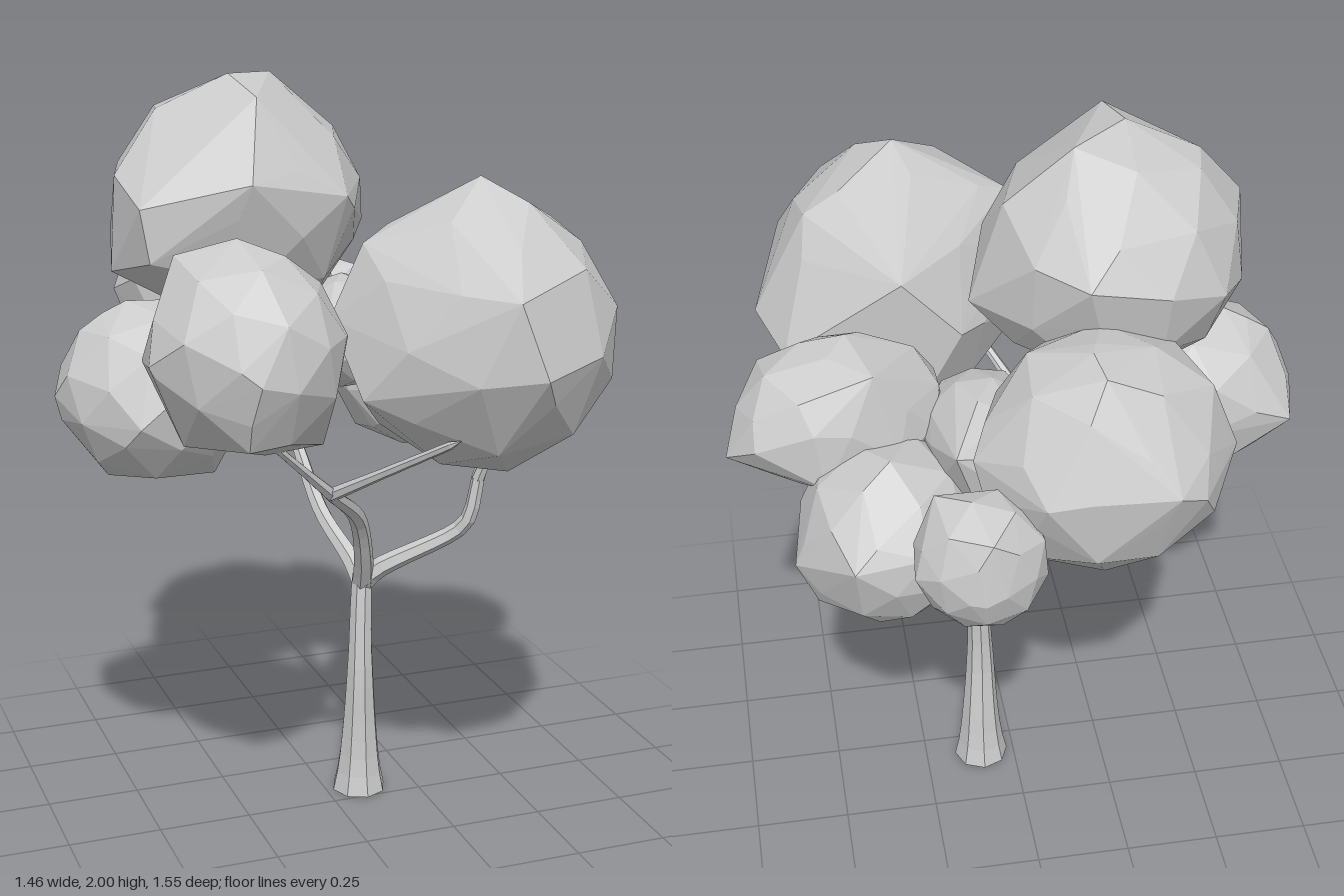
import * as THREE from 'three';
import { ConvexGeometry } from 'three/addons/geometries/ConvexGeometry.js';

const grey = new THREE.MeshStandardMaterial({ color: 0xcccccc, flatShading: true, side: THREE.DoubleSide });
const v = (p) => new THREE.Vector3(...p);

// Repeatable noise in -1..1 from a direction, so shared corners move together
function noise(d, seed) {
  const s = Math.sin(Math.round(d.x * 100) * 12.99 + Math.round(d.y * 100) * 78.23 + Math.round(d.z * 100) * 37.72 + seed * 5.17) * 4375.85;
  return (s - Math.floor(s)) * 2 - 1;
}

// Faceted leaf clump: an uneven rounded core inside a box, wrapped together with a few jutting corners
function clump(name, min, max, seed, fill, corners) {
  const centre = v(min).add(v(max)).multiplyScalar(0.5);
  const radii = v(max).sub(v(min)).multiplyScalar(0.5 * fill);
  const pos = new THREE.IcosahedronGeometry(1, 1).attributes.position;
  const turn = new THREE.Euler(seed * 0.9, seed * 1.7, seed * 0.4);
  const points = corners.map(v);
  for (let i = 0; i < pos.count; i++) {
    const d = new THREE.Vector3().fromBufferAttribute(pos, i).normalize();
    const r = 1 + 0.03 * noise(d, seed);
    points.push(d.applyEuler(turn).multiplyScalar(r).multiply(radii).add(centre));
  }
  const mesh = new THREE.Mesh(new ConvexGeometry(points), grey);
  mesh.name = name;
  return mesh;
}

// Tapered limb along a path; radii are spread evenly from start to end
function limb(name, points, radii, sides = 6) {
  const path = new THREE.CatmullRomCurve3(points.map(v), false, 'centripetal');
  const segs = 12;
  const geo = new THREE.TubeGeometry(path, segs, 1, sides);
  const pos = geo.attributes.position;
  const p = new THREE.Vector3();
  for (let i = 0; i < pos.count; i++) {
    const t = Math.floor(i / (sides + 1)) / segs;
    const f = t * (radii.length - 1);
    const k = Math.min(Math.floor(f), radii.length - 2);
    const r = THREE.MathUtils.lerp(radii[k], radii[k + 1], f - k);
    const c = path.getPointAt(t);
    p.fromBufferAttribute(pos, i).sub(c).multiplyScalar(r).add(c);
    pos.setXYZ(i, p.x, p.y, p.z);
  }
  geo.computeVertexNormals();
  const mesh = new THREE.Mesh(geo, grey);
  mesh.name = name;
  return mesh;
}

export function createModel() {
  const tree = new THREE.Group();
  tree.name = 'tree';

  // Trunk, flared at the foot, with a closed base
  tree.add(limb('trunk',
    [[0.093, 0, -0.064], [0.093, 0.15, -0.06], [0.09, 0.35, -0.048], [0.093, 0.5, -0.053], [0.1, 0.64, -0.062]],
    [0.075, 0.06, 0.053, 0.047, 0.042, 0.038, 0.034, 0.032, 0.031, 0.028], 8));
  const base = new THREE.Mesh(new THREE.CircleGeometry(0.073, 8).rotateX(Math.PI / 2), grey);
  base.name = 'trunkBase';
  base.position.set(0.093, 0, -0.064);
  tree.add(base);

  // Three main branches, each splitting in two
  const fork = [0.1, 0.61, -0.06];
  const branches = [
    { name: 'sideBranch', via: [[0.13, 0.65, -0.04], [0.33, 0.77, 0.05], [0.355, 0.81, 0.07]], split: [0.375, 0.92, 0.08],
      ends: [[0.43, 1.14, 0.15], [0.51, 1.14, -0.04]] },
    { name: 'frontBranch', via: [[0.085, 0.69, -0.01], [0.03, 0.85, 0.09]], split: [-0.1, 0.98, 0.25],
      ends: [[-0.3, 1.17, 0.38], [0.1, 1.2, 0.6]] },
    { name: 'backBranch', via: [[0.095, 0.65, -0.12], [0.06, 0.75, -0.28]], split: [0.035, 0.91, -0.41],
      ends: [[-0.03, 1.14, -0.47], [0.14, 1.1, -0.52]] },
  ];
  for (const b of branches) {
    tree.add(limb(b.name, [fork, ...b.via, b.split], [0.03, 0.025, 0.022, 0.018]));
    b.ends.forEach((end, i) => {
      const mid = b.split.map((s, k) => s + (end[k] - s) * 0.5);
      tree.add(limb(b.name + 'Twig' + (i + 1), [b.split, mid, end],
        [0.018, 0.017, 0.016, 0.015, 0.014, 0.013, 0.013, 0.012, 0.012, 0.011, 0.011, 0.01, 0]));
    });
  }

  // Leaf clumps
  const crown = new THREE.Group();
  crown.name = 'crown';
  crown.add(
    clump('frontClump', [-0.13, 1.01, -0.05], [0.62, 1.78, 0.77], 1, 0.9, [
      [0.24, 1.78, 0.36], [0.18, 1.55, 0.74], [0.24, 1.37, 0.77], [0.62, 1.38, 0.25], [0.56, 1.35, 0.07],
      [-0.13, 1.45, 0.32], [-0.1, 1.28, 0.47], [0.27, 1.6, -0.04], [0.25, 1.2, -0.03], [0.48, 1.65, 0.25],
      [-0.05, 1.63, 0.33], [0.3, 1.01, 0.14], [0.47, 1.07, 0.3], [0.12, 1.42, -0.01]]),
    clump('topClump', [-0.58, 1.36, -0.42], [0.11, 1.99, 0.26], 2, 0.94, [
      [-0.27, 2, -0.03], [-0.13, 1.99, -0.13], [-0.25, 1.96, 0.14], [-0.45, 1.92, -0.05], [-0.55, 1.71, 0.16],
      [-0.53, 1.58, 0.17], [-0.57, 1.77, 0], [-0.3, 1.77, 0.26], [-0.04, 1.72, 0.2], [0.12, 1.6, -0.13],
      [-0.12, 1.77, -0.41], [-0.33, 1.73, -0.37], [-0.58, 1.53, -0.02]]),
    clump('frontLowClump', [-0.6, 1.13, 0.12], [-0.1, 1.66, 0.61], 3, 0.95, [
      [-0.36, 1.66, 0.32], [-0.5, 1.62, 0.27], [-0.6, 1.39, 0.4], [-0.39, 1.37, 0.6], [-0.12, 1.43, 0.42],
      [-0.15, 1.14, 0.33], [-0.51, 1.18, 0.36], [-0.56, 1.35, 0.18], [-0.1, 1.28, 0.28], [-0.4, 1.2, 0.53]]),
    clump('sideLowClump', [-0.73, 0.98, -0.25], [-0.22, 1.46, 0.21], 4, 0.97, [
      [-0.69, 1.2, -0.2], [-0.73, 1.22, -0.04], [-0.57, 1.18, 0.2], [-0.6, 1.42, -0.05], [-0.6, 1.0, -0.04],
      [-0.33, 0.99, 0]]),
    clump('backClump', [-0.46, 1.06, -0.74], [0.17, 1.69, -0.2], 5, 0.97, [
      [-0.27, 1.42, -0.74], [0.03, 1.4, -0.71], [-0.34, 1.38, -0.7], [-0.46, 1.38, -0.5], [0.17, 1.42, -0.52],
      [-0.12, 1.68, -0.47], [-0.12, 1.67, -0.6], [-0.1, 1.06, -0.45]]),
    clump('sideClump', [0.16, 1.11, -0.34], [0.72, 1.53, 0.06], 6, 0.95, [
      [0.42, 1.53, -0.12], [0.37, 1.51, -0.28], [0.73, 1.25, -0.19], [0.66, 1.32, -0.28], [0.68, 1.22, -0.05],
      [0.48, 1.39, 0.05], [0.5, 1.2, 0.05], [0.52, 1.38, -0.32], [0.5, 1.23, -0.33]]),
    clump('backLowClump', [0.12, 0.89, -0.61], [0.59, 1.35, -0.1], 7, 0.96, [
      [0.35, 1.35, -0.4], [0.46, 1.18, -0.6], [0.59, 1.08, -0.42], [0.45, 0.89, -0.35], [0.35, 1.1, -0.1],
      [0.2, 0.99, -0.25], [0.54, 0.96, -0.42], [0.4, 0.94, -0.5]]),
    clump('smallBackClump', [0.01, 1.05, -0.78], [0.33, 1.4, -0.49], 8, 1, [
      [0.16, 1.36, -0.76], [0.18, 1.2, -0.78], [0.33, 1.22, -0.68], [0.27, 1.38, -0.58]]),
    clump('innerClump', [-0.05, 1.12, -0.46], [0.26, 1.43, -0.02], 9, 0.96, [[0.2, 1.38, -0.46], [0.25, 1.3, -0.25]]),
  );
  tree.add(crown);
  return tree;
}
